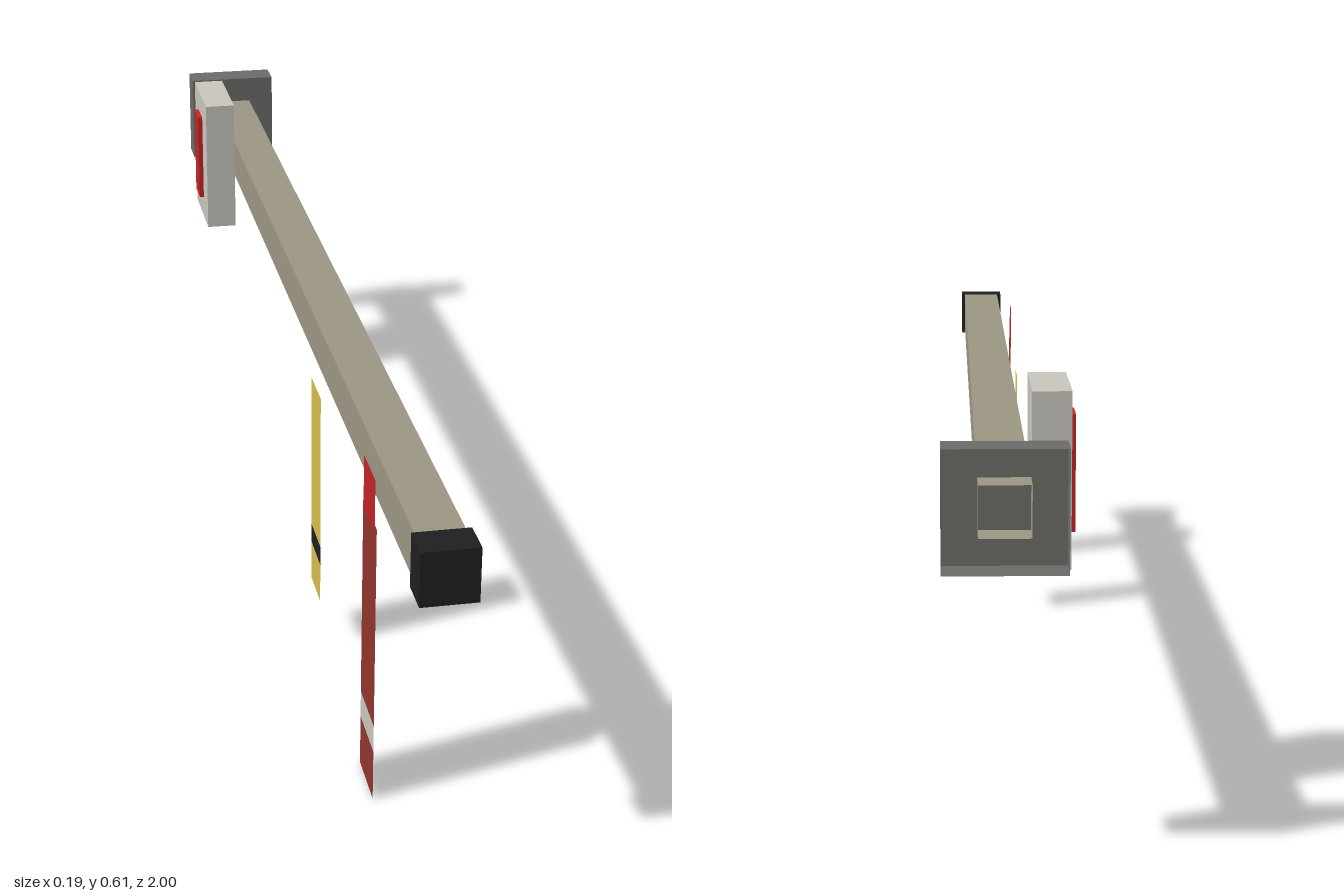
import * as THREE from 'three';

const COLORS = {
  beam: 0x9c9583, black: 0x1f1f21, flange: 0x6b6b68, pale: 0xc8c5bc,
  red: 0xc02424, darkRed: 0x8f352d, yellow: 0xd6bc4a,
};
const FACES = ['+x', '-x', '+y', '-y', '+z', '-z'];

// Box given by its [min, max] on each axis; faces listed in `open` are left out
function box(name, color, [x0, x1], [y0, y1], [z0, z1], open = []) {
  const g = new THREE.BoxGeometry(x1 - x0, y1 - y0, z1 - z0);
  g.translate((x0 + x1) / 2, (y0 + y1) / 2, (z0 + z1) / 2);
  if (open.length) {
    const index = Array.from(g.index.array);
    g.setIndex(index.filter((_, i) => !open.includes(FACES[Math.floor(i / 6)])));
    g.clearGroups();
  }
  const material = new THREE.MeshStandardMaterial({ color });
  if (open.length) material.side = THREE.DoubleSide;
  const mesh = new THREE.Mesh(g, material);
  mesh.name = name;
  return mesh;
}

// Thin upright strip lying in a plane of constant x
function strip(name, color, x, [y0, y1], [z0, z1]) {
  const g = new THREE.PlaneGeometry(z1 - z0, y1 - y0);
  g.rotateY(-Math.PI / 2);
  g.translate(x, (y0 + y1) / 2, (z0 + z1) / 2);
  const mesh = new THREE.Mesh(g, new THREE.MeshStandardMaterial({ color, side: THREE.DoubleSide }));
  mesh.name = name;
  return mesh;
}

// Hanging tag: a strip split by a contrasting band
function tag(name, color, bandColor, x, [y0, y1], [b0, b1], z) {
  const group = new THREE.Group();
  group.name = name;
  group.add(
    strip('tagTip', color, x, [y0, b0], z),
    strip('tagBand', bandColor, x, [b0, b1], z),
    strip('tagBody', color, x, [b1, y1], z),
  );
  return group;
}

export function createModel() {
  const model = new THREE.Group();
  model.name = 'beamWithTags';
  const cx = 0.009, cy = 0.481;
  const around = (c, half) => [c - half, c + half];

  // Long square tube, open at both ends
  model.add(box('beam', COLORS.beam, around(cx, 0.035), around(cy, 0.035), [-0.995, 0.995], ['+z', '-z']));

  // Front cap and rear flange, both hollow toward the back
  model.add(box('frontCap', COLORS.black, around(cx, 0.041), around(cy, 0.041), [0.945, 1], ['-z']));
  model.add(box('rearFlange', COLORS.flange, around(cx, 0.083), around(cy, 0.083), [-1, -0.945], ['-z']));

  // Side box with a raised red bar
  model.add(box('sideBox', COLORS.pale, [-0.087, -0.032], [0.356, 0.605], [-0.805, -0.64]));
  model.add(box('sideBar', COLORS.red, [-0.095, -0.087], [0.398, 0.564], [-0.755, -0.7]));

  // Hanging tags
  const tagX = -0.047;
  model.add(tag('redTag', COLORS.darkRed, COLORS.pale, tagX, [0, 0.45], [0.082, 0.126], [0.708, 0.802]));
  model.add(strip('redTagTab', COLORS.red, tagX - 0.001, [0.44, 0.522], [0.715, 0.793]));
  model.add(tag('yellowTag', COLORS.yellow, COLORS.black, tagX, [0.085, 0.45], [0.153, 0.186], [0.295, 0.376]));

  return model;
}
